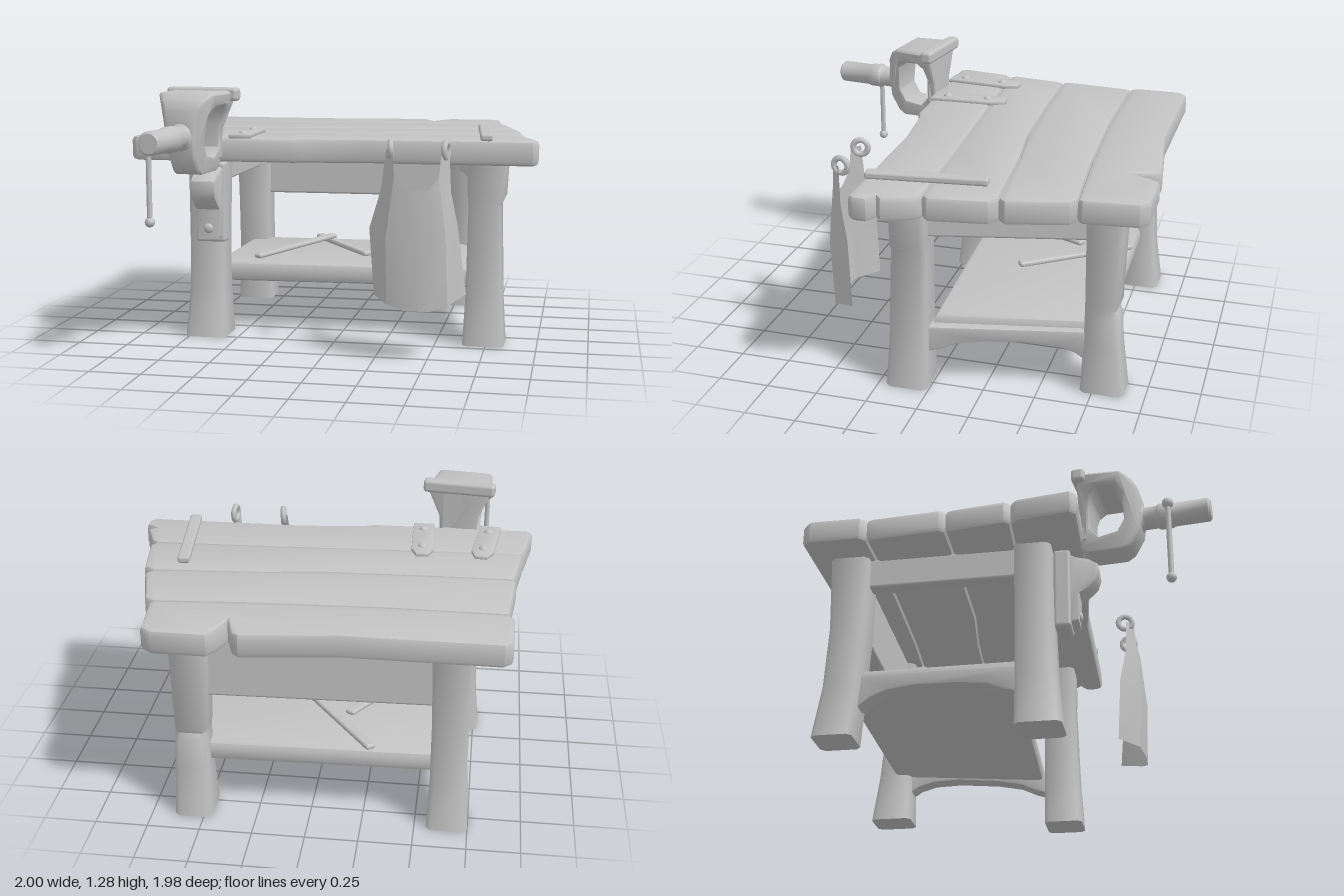
import * as THREE from 'three';
import { toCreasedNormals } from 'three/addons/utils/BufferGeometryUtils.js';
import { RoundedBoxGeometry } from 'three/addons/geometries/RoundedBoxGeometry.js';

const grey = new THREE.MeshStandardMaterial({ color: 0xc2c2c2, side: THREE.DoubleSide });
grey.name = 'plainGrey';

function add(parent, name, geo, x = 0, y = 0, z = 0) {
  const m = new THREE.Mesh(geo, grey);
  m.name = name;
  m.position.set(x, y, z);
  parent.add(m);
  return m;
}

const crease = (g, a = 0.7) => toCreasedNormals(g, a);

function extrude(pts, depth, bevel, holes = []) {
  const v = (list) => list.map(([a, b]) => new THREE.Vector2(a, b));
  const s = new THREE.Shape(v(pts));
  for (const h of holes) s.holes.push(new THREE.Path(v(h)));
  const g = new THREE.ExtrudeGeometry(s, {
    depth: depth - 2 * bevel, bevelEnabled: bevel > 0, bevelSize: bevel,
    bevelThickness: bevel, bevelOffset: -bevel, bevelSegments: 2,
  });
  return g.translate(0, 0, bevel);
}

// Horizontal board from an [x, z] outline
function slab(pts, y0, y1, bevel) {
  const g = extrude(pts.map(([x, z]) => [x, -z]), y1 - y0, bevel);
  return crease(g.rotateX(-Math.PI / 2).translate(0, y0, 0));
}

// Solid from a [z, y] side profile, centred across x
function sideSolid(pts, width, bevel, holes) {
  return extrude(pts, width, bevel, holes).translate(0, 0, -width / 2).rotateY(-Math.PI / 2);
}

// Straight rounded bar between two points
function beam(parent, name, a, b, w, h, r = 0.012) {
  const p = new THREE.Vector3(...a), q = new THREE.Vector3(...b);
  const m = add(parent, name, new RoundedBoxGeometry(w, h, p.distanceTo(q), 2, r));
  m.position.copy(p).add(q).multiplyScalar(0.5);
  m.lookAt(q);
}

// Chamfered post through sections [y, x0, x1, z0, z1]
function post(sections) {
  const c = 0.022, pos = [], idx = [], n = 8;
  for (const [y, x0, x1, z0, z1] of sections) {
    const loop = [[x0, z0 + c], [x0, z1 - c], [x0 + c, z1], [x1 - c, z1],
      [x1, z1 - c], [x1, z0 + c], [x1 - c, z0], [x0 + c, z0]];
    for (const [x, z] of loop) pos.push(x, y, z);
  }
  const top = (sections.length - 1) * n;
  for (let s = 0; s < top; s += n) for (let i = 0; i < n; i++) {
    const j = (i + 1) % n;
    idx.push(s + i, s + j, s + n + j, s + i, s + n + j, s + n + i);
  }
  for (let i = 1; i < n - 1; i++) idx.push(0, i + 1, i, top, top + i, top + i + 1);
  const g = new THREE.BufferGeometry();
  g.setAttribute('position', new THREE.Float32BufferAttribute(pos, 3));
  g.setIndex(idx);
  return crease(g, 0.9);
}

export function createModel() {
  const root = new THREE.Group();
  root.name = 'workbench';

  // Table top: four uneven planks, back to front, meeting along shared seams
  const seams = [
    [[-0.88, -0.62], [-0.3, -0.618], [0.25, -0.64], [0.735, -0.676]],
    [[-0.9, -0.24], [-0.5, -0.246], [0, -0.262], [0.3, -0.302], [0.82, -0.338]],
    [[-0.93, 0.07], [-0.3, 0.04], [0.3, 0.014], [0.885, -0.005]],
  ];
  const back = (i) => [...seams[i]].reverse();
  const planks = [
    [[-0.91, -0.65], ...seams[0], [0.755, -0.7], [0.73, -0.95], [0.68, -0.99], [0.43, -0.99], [0.395, -0.94],
      [0.36, -0.84], [0.325, -0.95], [0.29, -0.98], [-0.15, -0.925], [-0.87, -0.93], [-0.91, -0.89]],
    [[-0.92, -0.27], ...seams[1], [0.855, -0.375], [0.785, -0.65], ...back(0), [-0.89, -0.59]],
    [[-0.95, 0.04], ...seams[2], [0.915, -0.035], [0.875, -0.305], ...back(1), [-0.915, -0.21]],
    [[-1, 0.35], [-0.97, 0.38], [-0.18, 0.37], [-0.13, 0.35], [0.18, 0.315], [0.97, 0.31], [0.995, 0.28], [0.995, 0.22],
      [0.94, 0.19], [0.975, 0.16], [0.92, 0.02], ...back(2), [-0.96, 0.1]],
  ];
  planks.forEach((p, i) => add(root, `topPlank${i + 1}`, slab(p, 0.91, 1.03, 0.022)));

  // Legs, flared at the foot, with small dents
  add(root, 'frontRightLeg', post([[0, -0.77, -0.56, 0.06, 0.275], [0.25, -0.75, -0.575, 0.06, 0.25],
    [0.5, -0.75, -0.575, 0.06, 0.24], [0.92, -0.755, -0.565, 0.055, 0.23]]));
  add(root, 'frontLeftLeg', post([[0, 0.635, 0.84, 0.01, 0.21], [0.25, 0.648, 0.825, 0.01, 0.195], [0.7, 0.655, 0.815, 0.01, 0.18],
    [0.74, 0.65, 0.835, 0.01, 0.18], [0.92, 0.645, 0.845, 0.01, 0.18]]));
  add(root, 'backLeftLeg', post([[0, 0.46, 0.64, -0.9, -0.69], [0.25, 0.475, 0.635, -0.87, -0.7], [0.4, 0.48, 0.63, -0.86, -0.7],
    [0.43, 0.48, 0.63, -0.845, -0.7], [0.46, 0.475, 0.63, -0.86, -0.7], [0.92, 0.46, 0.64, -0.87, -0.695]]));
  add(root, 'backRightLeg', post([[0, -0.75, -0.555, -0.87, -0.68], [0.25, -0.735, -0.565, -0.835, -0.66],
    [0.55, -0.735, -0.565, -0.82, -0.645], [0.92, -0.745, -0.555, -0.83, -0.645]]));

  // Boards under the top
  beam(root, 'backBoard', [-0.62, 0.765, -0.74], [0.54, 0.765, -0.77], 0.07, 0.3);
  beam(root, 'leftBoard', [0.73, 0.845, 0.05], [0.55, 0.845, -0.74], 0.08, 0.15);
  beam(root, 'rightBoard', [-0.66, 0.845, 0.1], [-0.65, 0.845, -0.7], 0.08, 0.15);

  // Arched stretchers between front and back legs
  const arch = [[0.05, 0.31], [-0.76, 0.31], [-0.76, 0.13], [-0.71, 0.155], [-0.66, 0.195], [-0.58, 0.225], [-0.45, 0.24],
    [-0.25, 0.238], [-0.12, 0.222], [-0.04, 0.19], [0.05, 0.17]];
  for (const [name, x, z, slope] of [['leftStretcher', 0.72, 0, 0.22], ['rightStretcher', -0.66, 0.05, -0.01]]) {
    const g = sideSolid(arch, 0.1, 0.012), p = g.attributes.position;
    for (let i = 0; i < p.count; i++) p.setX(i, p.getX(i) + slope * p.getZ(i));
    add(root, name, crease(g), x, 0, z);
  }

  // Thick lower shelf with loose sticks, and a stick on the top
  add(root, 'shelf', slab([[-0.68, 0.06], [0.72, 0.0], [0.56, -0.79], [-0.67, -0.76]], 0.25, 0.35, 0.03));
  beam(root, 'shelfStickUpper', [-0.46, 0.375, 0], [-0.155, 0.408, -0.53], 0.05, 0.025);
  beam(root, 'shelfStickLower', [0.085, 0.36, -0.25], [-0.285, 0.364, -0.76], 0.05, 0.028);
  beam(root, 'topStick', [0.752, 1.045, 0.31], [0.692, 1.047, -0.26], 0.06, 0.035);

  // Bolted straps on the top
  for (const [x, lean] of [[-0.765, -0.1], [-0.45, 0.03]]) {
    const strap = new THREE.Group();
    strap.name = 'strap';
    strap.position.set(x, 0, 0.17);
    strap.rotation.y = lean;
    add(strap, 'strapPlate', slab([[-0.055, 0.2], [0.055, 0.2], [0.055, -0.13], [0.03, -0.2], [-0.03, -0.2], [-0.055, -0.13]], 1.025, 1.046, 0.005));
    for (const z of [-0.1, 0.12]) {
      add(strap, 'strapBolt', new THREE.SphereGeometry(0.024, 14, 6, 0, Math.PI * 2, 0, Math.PI / 2), 0, 1.043, z).scale.y = 0.75;
    }
    root.add(strap);
  }

  // Vise, turned slightly from the bench front
  const vise = new THREE.Group();
  vise.name = 'vise';
  vise.position.set(-0.615, 0, 0.375);
  vise.rotation.y = -0.13;
  root.add(vise);
  const frame = sideSolid(
    [[0, 0.9], [0.03, 0.872], [0.2, 0.87], [0.24, 0.89], [0.285, 0.97], [0.295, 1.05], [0.285, 1.18], [0.26, 1.225],
      [0.21, 1.26], [0, 1.262], [0, 1.2], [0, 1.08]],
    0.2, 0.015,
    [[[0.05, 0.99], [0.05, 1.1], [0.06, 1.16], [0.09, 1.19], [0.18, 1.185], [0.21, 1.15], [0.215, 1.02], [0.18, 0.96], [0.09, 0.945]]]);
  const fp = frame.attributes.position;
  for (let i = 0; i < fp.count; i++) {
    const y = fp.getY(i), z = fp.getZ(i);
    const flare = 1 + 0.6 * THREE.MathUtils.smoothstep(y, 1.08, 1.23) * (1 - z * 1.2);
    const taper = 1 - 0.25 * THREE.MathUtils.smoothstep(-y, -1.0, -0.88);
    fp.setX(i, fp.getX(i) * flare * taper * (1 - 0.35 * THREE.MathUtils.smoothstep(z, 0.19, 0.3)));
  }
  add(vise, 'viseFrame', crease(frame));
  add(vise, 'viseJaw', new RoundedBoxGeometry(0.37, 0.065, 0.065, 2, 0.018), 0, 1.243, 0.015);
  add(vise, 'viseBackPlate', new RoundedBoxGeometry(0.18, 0.3, 0.04, 2, 0.012), 0, 1.08, 0.02);
  add(vise, 'viseMount', new RoundedBoxGeometry(0.16, 0.1, 0.1, 2, 0.015), 0, 0.972, -0.015);
  const barrel = [[0, 0.25], [0.065, 0.25], [0.065, 0.29], [0.054, 0.3], [0.054, 0.36], [0.062, 0.37], [0.062, 0.43],
    [0.056, 0.44], [0.056, 0.605], [0.046, 0.615], [0, 0.615]].map(([r, z]) => new THREE.Vector2(r, z));
  add(vise, 'viseScrew', crease(new THREE.LatheGeometry(barrel, 20).rotateX(Math.PI / 2)), 0, 1.053, 0);
  const handle = new THREE.Group();
  handle.name = 'viseHandle';
  handle.position.set(-0.765, 0, 0.785);
  add(handle, 'handleRod', new THREE.CylinderGeometry(0.013, 0.013, 0.42, 12), 0, 0.87, 0);
  add(handle, 'handleKnobLower', new THREE.SphereGeometry(0.024, 14, 10), 0, 0.668, 0);
  add(handle, 'handleKnobUpper', new THREE.SphereGeometry(0.027, 14, 10), 0, 1.062, 0);
  root.add(handle);

  // Bracket bolted to the leg below the vise
  add(root, 'bracketPlate', new RoundedBoxGeometry(0.15, 0.4, 0.08, 2, 0.015), -0.615, 0.7, 0.275);
  add(root, 'bracketArm', crease(sideSolid([[0.29, 0.89], [0.34, 0.865], [0.4, 0.85], [0.445, 0.82], [0.45, 0.78], [0.435, 0.735],
    [0.39, 0.69], [0.355, 0.67], [0.35, 0.53], [0.29, 0.52]], 0.125, 0.012)), -0.615, 0, 0);
  add(root, 'bracketBolt', new THREE.SphereGeometry(0.025, 14, 10), -0.615, 0.575, 0.35).scale.z = 0.6;

  // Hanging work apron: rows from hem to chest, then two straps
  const rows = [
    [[0.235, 0.295, 0.45], [0.31, 0.275, 0.555], [0.4, 0.25, 0.58], [0.52, 0.25, 0.58], [0.6, 0.275, 0.55], [0.675, 0.31, 0.43]],
    [[0.215, 0.62, 0.47], [0.31, 0.6, 0.57], [0.38, 0.6, 0.59], [0.54, 0.6, 0.59], [0.59, 0.61, 0.57], [0.635, 0.64, 0.46]],
    [[0.275, 0.81, 0.5], [0.345, 0.88, 0.555], [0.4, 0.82, 0.57], [0.51, 0.82, 0.57], [0.555, 0.88, 0.555], [0.605, 0.81, 0.5]],
    [[0.3, 1.0, 0.505], [0.335, 1.0, 0.545], null, null, [0.565, 1.0, 0.545], [0.597, 1.0, 0.505]],
  ];
  const cloth = [];
  for (let r = 0; r < 3; r++) for (let c = 0; c < 5; c++) {
    const [a, b, d, e] = [rows[r][c], rows[r][c + 1], rows[r + 1][c + 1], rows[r + 1][c]];
    if (d && e) cloth.push(...a, ...b, ...d, ...a, ...d, ...e);
  }
  const clothGeo = new THREE.BufferGeometry();
  clothGeo.setAttribute('position', new THREE.Float32BufferAttribute(cloth, 3));
  add(root, 'apronCloth', crease(clothGeo, 0.45));
  for (const [x, turn] of [[0.32, 0.15], [0.58, -0.15]]) {
    add(root, 'apronRing', new THREE.TorusGeometry(0.037, 0.015, 8, 18), x, 1.0, 0.5).rotation.y = Math.PI / 2 + turn;
  }

  return root;
}
